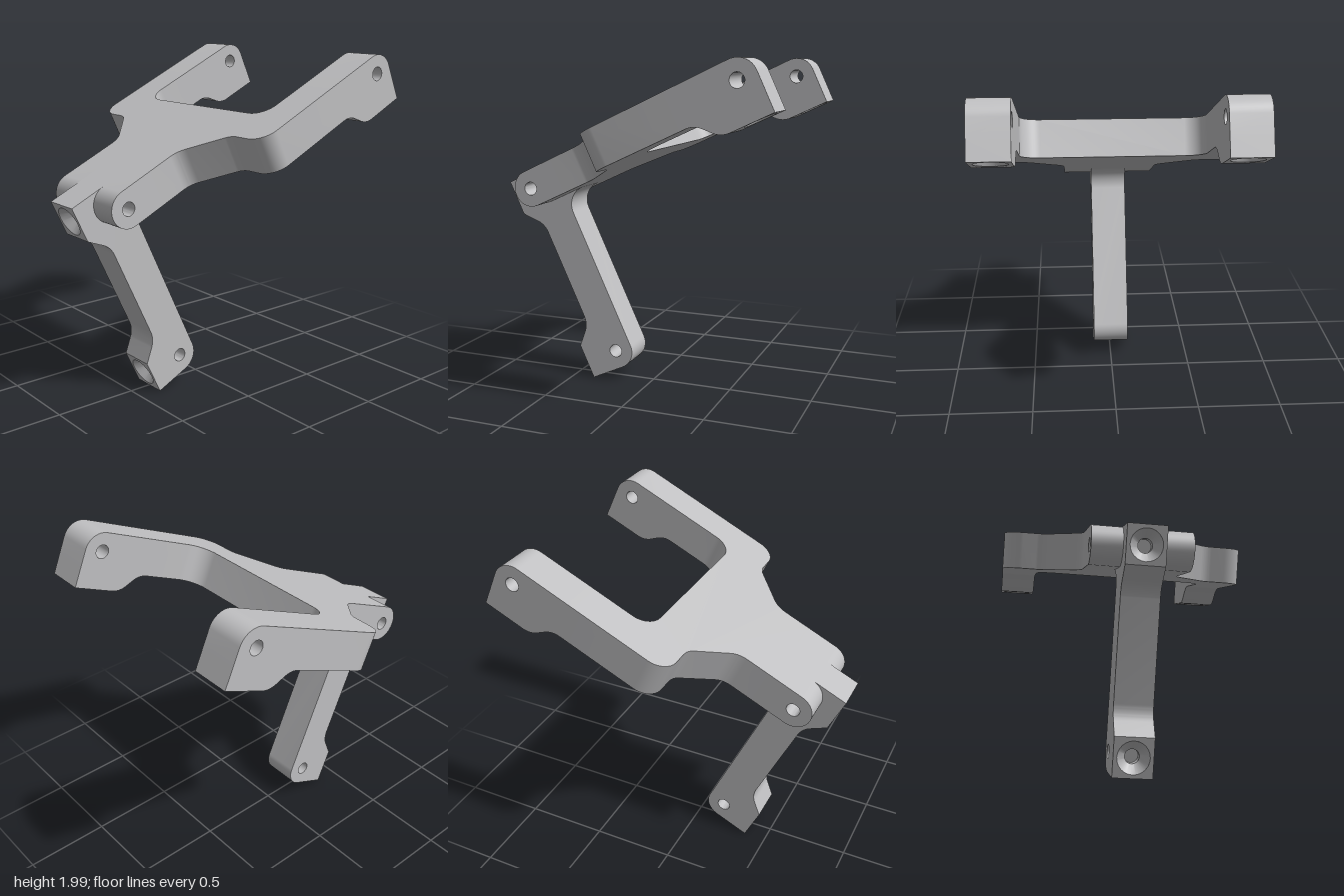
import * as THREE from 'three';
import { toCreasedNormals } from 'three/addons/utils/BufferGeometryUtils.js';

const T = 0.11;        // half thickness of every arm
const HOLE = 0.04;     // cross hole radius
const grey = new THREE.MeshStandardMaterial({ color: 0xc0c0c2, side: THREE.DoubleSide });
grey.name = 'light grey';

// Closed outline from [x, y, cornerRadius] points
function outline(pts, holes = []) {
  const shape = new THREE.Shape();
  const n = pts.length;
  pts.forEach(([x, y, r = 0], i) => {
    const p = new THREE.Vector2(x, y);
    const a = new THREE.Vector2(...pts[(i + n - 1) % n].slice(0, 2)).sub(p).normalize();
    const b = new THREE.Vector2(...pts[(i + 1) % n].slice(0, 2)).sub(p).normalize();
    const turn = Math.PI - Math.acos(a.dot(b));
    const t = r * Math.tan(turn / 2);
    const h = t - r * (4 / 3) * Math.tan(turn / 4);
    const at = (d, len) => p.clone().addScaledVector(d, len);
    const s = at(a, t);
    if (i === 0) shape.moveTo(s.x, s.y); else shape.lineTo(s.x, s.y);
    if (r) {
      const c1 = at(a, h), c2 = at(b, h), e = at(b, t);
      shape.bezierCurveTo(c1.x, c1.y, c2.x, c2.y, e.x, e.y);
    }
  });
  shape.closePath();
  for (const [x, y, r] of holes) {
    shape.holes.push(new THREE.Path().absarc(x, y, r, 0, Math.PI * 2, true));
  }
  return shape;
}

function extrude(shape, depth) {
  return new THREE.ExtrudeGeometry(shape, { depth, bevelEnabled: false, curveSegments: 12 });
}

function part(name, geometry) {
  const mesh = new THREE.Mesh(toCreasedNormals(geometry, 0.5), grey);
  mesh.name = name;
  return mesh;
}

// Side profile extruded across z, from z0 to z1
const across = (name, shape, z0, z1) => part(name, extrude(shape, z1 - z0).translate(0, 0, z0));

// Plan outline (x, z) extruded upward from y0 to y1
const upward = (name, shape, y0, y1) =>
  part(name, extrude(shape, y1 - y0).rotateX(-Math.PI / 2).translate(0, y0, 0));

// Foot pad with a countersunk blind hole in its lower face
function socketPad(name, x, x0, x1, z = 0) {
  const pad = new THREE.Group();
  pad.name = name;
  pad.add(upward('padBlock', outline([[x0, -T], [x1, -T], [x1, T], [x0, T]], [[x, 0, 0.09]]), -2 * T, -T));
  const profile = [[0.09, -0.22], [0.04, -0.16], [0.04, -T]].map(p => new THREE.Vector2(...p));
  const sink = part('countersink', new THREE.LatheGeometry(profile, 32));
  sink.position.x = x;
  pad.add(sink);
  pad.position.z = z;
  return pad;
}

export function createModel() {
  const model = new THREE.Group();
  model.name = 'forkedBracket';
  const body = new THREE.Group();
  body.name = 'bracketBody';
  body.position.set(-0.69, 1.22, 0);
  body.rotation.z = THREE.MathUtils.degToRad(25.1);
  model.add(body);

  // Fork plate: narrow neck flaring into two prongs
  const half = [
    [0.2, 0.285], [0.413, 0.285, 0.13], [0.636, 0.51, 0.1], [0.636, 0.75, 0.115],
    [1.2, 0.75], [1.2, 0.53], [0.864, 0.53, 0.115],
  ];
  const mirrored = half.map(([x, z, r]) => [x, -z, r]).reverse();
  body.add(upward('forkPlate', outline([...half, ...mirrored]), -T, T));

  // Rounded hinge ears and prong tips, mirrored front and back
  const ear = outline([[-T, -T, T], [0.2, -T], [0.2, T], [-T, T, T]], [[0, 0, HOLE]]);
  const tip = outline([
    [1.2, T], [1.2, -T], [1.278, -T, 0.12], [1.388, -2 * T, 0.12], [1.45, -2 * T],
    [1.45, -T], [1.685, -T], [1.685, T, T],
  ], [[1.575, 0, HOLE]]);
  for (const [side, s] of [['front', 1], ['back', -1]]) {
    const span = (a, b) => s > 0 ? [a, b] : [-b, -a];
    body.add(across(side + 'HingeEar', ear, ...span(T, 0.285)));
    body.add(across(side + 'ProngTip', tip, ...span(0.53, 0.75)));
    body.add(socketPad(side + 'ProngFoot', 1.575, 1.45, 1.685, s * 0.64));
  }

  // Leg with sloped shoulders at both pads and a fillet under the fork
  const leg = outline([
    [-T, T], [-T, -T], [-2 * T, -T], [-T, -0.225, 0.13], [-T, -0.907, 0.13],
    [-2 * T, -1.017], [-T, -1.017], [-T, -1.237], [T, -1.237, T],
    [T, -T, 0.12], [0.24, -T], [0.24, T],
  ], [[0, 0, HOLE], [0, -1.127, HOLE]]);
  body.add(across('leg', leg, -T, T));

  // Pads on the leg face sideways
  const legPads = new THREE.Group();
  legPads.name = 'legPads';
  legPads.rotation.z = -Math.PI / 2;
  legPads.add(socketPad('legHeadPad', 0, -T, T));
  legPads.add(socketPad('legFootPad', 1.127, 1.017, 1.237));
  body.add(legPads);

  return model;
}
